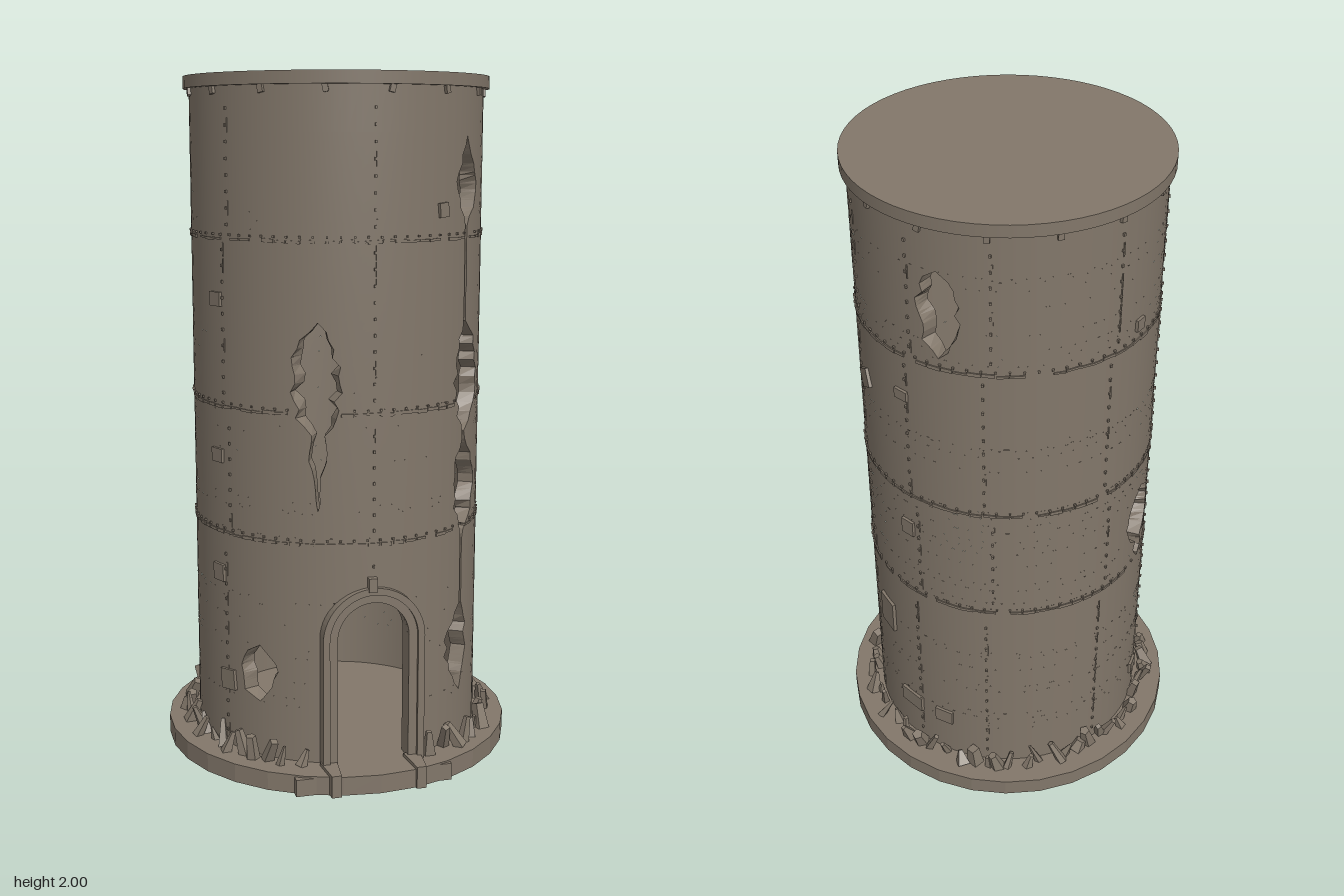
import * as THREE from 'three';
import { mergeGeometries } from 'three/addons/utils/BufferGeometryUtils.js';

const RO = 0.43, RI = 0.385, FLOOR = 0.055;
const rad = (d) => d * Math.PI / 180;
const lerp = THREE.MathUtils.lerp;

let seed = 11;
const rnd = () => (seed = (seed * 16807) % 2147483647) / 2147483647;
const spread = (a) => (rnd() * 2 - 1) * a;

// Ragged crack around one angle; each bulge is [height, half height, reach left, reach right] in degrees
function crack(centre, y0, y1, slit, bulges) {
  const rows = [], n = Math.ceil((y1 - y0) / 0.025);
  for (let k = 0; k <= n; k++) {
    const y = lerp(y0, y1, k / n);
    const ends = k === 0 || k === n;
    let left = slit, right = slit;
    for (const [yc, half, l, r] of bulges) {
      const f = Math.pow(Math.max(0, 1 - ((y - yc) / half) ** 2), 0.7);
      left = Math.max(left, l * f);
      right = Math.max(right, r * f);
    }
    const w = ends ? 0 : left + right;
    const jag = Math.min(1.6, w * 0.2), bevel = Math.min(3, w * 0.2);
    const L = centre - (ends ? 0 : left) + spread(jag), R = centre + (ends ? 0 : right) + spread(jag);
    rows.push({ y, o: [rad(L), rad(R)], i: [rad(L + rnd() * bevel), rad(R - rnd() * bevel)] });
  }
  return rows;
}

// Arched doorway with straight jambs
function doorway(w, spring) {
  const row = (y, x) => ({ y, o: [-Math.asin(x / RO), Math.asin(x / RO)], i: [-Math.asin(x / RI), Math.asin(x / RI)] });
  const rows = [row(0.04, w)];
  for (let k = 0; k <= 10; k++) {
    const a = k / 10 * Math.PI / 2;
    rows.push(row(spring + w * Math.sin(a), k === 10 ? 0 : w * Math.cos(a)));
  }
  return rows;
}

// Outer and inner edge angles of an opening at one height
function edgesAt(rows, y) {
  let k = 0;
  while (k < rows.length - 2 && rows[k + 1].y < y) k++;
  const a = rows[k], b = rows[k + 1];
  const t = THREE.MathUtils.clamp((y - a.y) / (b.y - a.y), 0, 1);
  const mix = (p, q) => [lerp(p[0], q[0], t), lerp(p[1], q[1], t)];
  return { o: mix(a.o, b.o), i: mix(a.i, b.i) };
}

const polar = (r, a, y) => [r * Math.sin(a), y, r * Math.cos(a)];

// Hollow wall laid in rows, each row filled between the openings
function buildWall(holes) {
  const outer = [], inner = [], edges = [];
  const quad = (list, a, b, c, d) => list.push(...a, ...b, ...c, ...a, ...c, ...d);
  const ys = [...new Set([0.04, 1.98, ...holes.flatMap((h) => h.map((s) => s.y))])].sort((a, b) => a - b);
  for (let k = 0; k < ys.length - 1; k++) {
    const y0 = ys[k], y1 = ys[k + 1], mid = (y0 + y1) / 2;
    if (y1 - y0 < 1e-6) continue;
    const active = holes.filter((h) => h[0].y < mid && h[h.length - 1].y > mid)
      .map((h) => [edgesAt(h, y0), edgesAt(h, y1)]).sort((a, b) => a[0].o[0] - b[0].o[0]);
    const strip = (list, r, a0, a1, b0, b1) => {
      const n = Math.max(1, Math.ceil((a1 - a0) / rad(5)));
      for (let j = 0; j < n; j++) {
        const s = j / n, t = (j + 1) / n;
        const q = [polar(r, lerp(a0, a1, s), y0), polar(r, lerp(a0, a1, t), y0),
          polar(r, lerp(b0, b1, t), y1), polar(r, lerp(b0, b1, s), y1)];
        if (r === RI) q.reverse();
        quad(list, ...q);
      }
    };
    if (!active.length) {
      strip(outer, RO, 0, Math.PI * 2, 0, Math.PI * 2);
      strip(inner, RI, 0, Math.PI * 2, 0, Math.PI * 2);
    }
    active.forEach(([lo, hi], j) => {
      const last = j === active.length - 1;
      const [nlo, nhi] = active[last ? 0 : j + 1];
      const turn = last ? Math.PI * 2 : 0;
      strip(outer, RO, lo.o[1], nlo.o[0] + turn, hi.o[1], nhi.o[0] + turn);
      strip(inner, RI, lo.i[1], nlo.i[0] + turn, hi.i[1], nhi.i[0] + turn);
      for (const s of [0, 1]) {
        const q = [polar(RO, lo.o[s], y0), polar(RI, lo.i[s], y0), polar(RI, hi.i[s], y1), polar(RO, hi.o[s], y1)];
        if (s) q.reverse();
        quad(edges, ...q);
      }
    });
  }
  // Round faces get radial normals, broken edges stay flat
  const make = (list, sign) => {
    const g = new THREE.BufferGeometry();
    g.setAttribute('position', new THREE.Float32BufferAttribute(list, 3));
    g.computeVertexNormals();
    const p = g.attributes.position;
    for (let v = 0; sign && v < p.count; v++) {
      const l = sign / Math.hypot(p.getX(v), p.getZ(v));
      g.attributes.normal.setXYZ(v, p.getX(v) * l, 0, p.getZ(v) * l);
    }
    return g;
  };
  return { outer: make(outer, 1), inner: make(inner, -1), edges: make(edges, 0) };
}

// Arch outline for the door frame
function archPath(Type, w, spring) {
  const p = new Type();
  p.moveTo(-w, 0.03);
  p.lineTo(w, 0.03);
  p.lineTo(w, spring);
  p.absarc(0, spring, w, 0, Math.PI, false);
  p.lineTo(-w, 0.03);
  return p;
}

export function createModel() {
  const model = new THREE.Group();
  const stone = new THREE.MeshStandardMaterial({ color: 0x82776a });
  stone.name = 'weathered stone';
  const add = (name, geo) => {
    const m = new THREE.Mesh(geo, stone);
    m.name = name;
    model.add(m);
    return m;
  };

  const holes = [
    doorway(0.105, 0.43),
    crack(-21, 0.8, 1.33, 0.8, [[1.16, 0.16, 10, 8], [1, 0.12, 3.5, 3]]),
    crack(44.5, 0.2, 1.83, 0.7, [[0.34, 0.13, 10, 5], [0.83, 0.14, 6, 11], [1.15, 0.16, 6, 13], [1.7, 0.11, 6, 8]]),
    crack(-45, 0.22, 0.39, 0.5, [[0.31, 0.09, 10, 7]]),
    crack(224, 0.7, 0.98, 1, [[0.87, 0.11, 12, 11], [0.76, 0.07, 4, 3]]),
    crack(132, 1.58, 1.84, 0.5, [[1.72, 0.14, 7.5, 7]]),
  ];
  const wall = buildWall(holes);
  add('outerWall', wall.outer);
  add('innerWall', wall.inner);
  add('brokenEdges', wall.edges);

  // Base slab, roof disc and doorstep
  const slab = new THREE.CylinderGeometry(0.525, 0.525, FLOOR, 30).toNonIndexed();
  slab.computeVertexNormals();
  add('base', slab).position.y = FLOOR / 2;
  add('roof', new THREE.CylinderGeometry(0.447, 0.447, 0.035, 64)).position.y = 1.9825;
  add('doorstep', new THREE.BoxGeometry(0.46, 0.05, 0.14)).position.set(-0.01, 0.025, 0.42);
  for (const x of [-0.13, 0.12]) {
    const s = new THREE.Shape([[-0.025, -0.42], [-0.014, -0.523], [0.014, -0.523], [0.025, -0.42]]
      .map((p) => new THREE.Vector2(...p)));
    const kerb = add('doorKerb', new THREE.ExtrudeGeometry(s, { depth: 0.065, bevelEnabled: false }));
    kerb.rotation.x = -Math.PI / 2;
    kerb.position.x = x;
  }

  // Door frame in two tiers with a keystone
  for (const [name, w, hole, z0, z1] of [['frameTrim', 0.15, 0.13, 0.38, 0.445], ['frameInner', 0.131, 0.105, 0.375, 0.435]]) {
    const s = archPath(THREE.Shape, w, 0.43);
    s.holes.push(archPath(THREE.Path, hole, 0.43));
    add(name, new THREE.ExtrudeGeometry(s, { depth: z1 - z0, bevelEnabled: false, curveSegments: 14 })).position.z = z0;
  }
  add('keystone', new THREE.BoxGeometry(0.025, 0.04, 0.04)).position.set(-0.005, 0.59, 0.43);

  // Small boxes set against the curved wall
  const inHole = (deg, y) => holes.some((h) => {
    if (y < h[0].y || y > h[h.length - 1].y) return false;
    const { o } = edgesAt(h, y);
    return [deg, deg - 360].some((d) => rad(d + 2) > o[0] && rad(d - 2) < o[1]);
  }) || (y < 0.61 && Math.abs((deg + 180) % 360 - 180) < 21);
  const onWall = (deg, y, w, h, out, tilt = 0) =>
    new THREE.BoxGeometry(w, h, out + 0.012).rotateZ(tilt).translate(0, y, RO + (out - 0.012) / 2).rotateY(rad(deg));

  // Ragged horizontal seams with rivets
  const seams = [], rivets = [];
  const levels = [0.06, 0.705, 1.075, 1.55, 1.96];
  for (const y of levels.slice(1, 4)) {
    for (let d = 0; d < 360; d += 5) {
      if (inHole(d, y)) continue;
      if (rnd() < 0.85) seams.push(onWall(d, y + spread(0.002), 0.03 + rnd() * 0.012, 0.005 + rnd() * 0.006, 0.003, spread(0.06)));
      rivets.push(onWall(d + 2.5, y + 0.012, 0.006, 0.006, 0.005));
    }
  }
  // Vertical seams, shifted a little on each storey
  for (let k = 0; k < 4; k++) {
    for (const d0 of [0, 83, 117, 148, 196, 240, 298]) {
      const d = d0 === 0 ? 0 : d0 + (k % 2 ? 3 : 0);
      for (let y = levels[k] + 0.04; y < levels[k + 1] - 0.02; y += 0.045) {
        if (inHole(d, y)) continue;
        rivets.push(onWall(d, y, 0.006, 0.008, 0.005));
        if (rnd() < 0.35) seams.push(onWall(d + 0.6, y, 0.004, 0.04, 0.002));
      }
    }
  }
  // Studs below the roof
  for (let d = 6; d < 360; d += 24) rivets.push(onWall(d, 1.955, 0.016, 0.022, 0.009, spread(0.3)));
  add('seams', mergeGeometries(seams));
  add('rivets', mergeGeometries(rivets));

  // Patches and loose blocks: angle, height, width, height, tilt
  const patches = [[90, 1.37, 0.06, 0.055, 0.5], [115, 1.42, 0.045, 0.03, 0], [115, 0.95, 0.045, 0.05, 0],
    [97, 0.51, 0.08, 0.11, 0], [112, 0.21, 0.09, 0.055, 0], [129, 0.21, 0.06, 0.05, 0], [29, 1.63, 0.035, 0.04, 0.1],
    [-66, 1.38, 0.05, 0.04, 0], [-66, 0.93, 0.05, 0.04, 0], [-66, 0.58, 0.05, 0.05, 0], [-61, 0.26, 0.06, 0.06, 0.1],
    [211, 1.6, 0.035, 0.035, 0], [228, 0.19, 0.05, 0.04, 0]];
  add('patches', mergeGeometries(patches.map(([d, y, w, h, t]) => onWall(d, y, w, h, 0.008, t))));

  // Rubble around the foot of the wall
  const rubble = [];
  for (let d = 24; d < 337; d += 5.6) {
    const h = 0.035 + rnd() * 0.055, w = 0.013 + rnd() * 0.014;
    const g = new THREE.CylinderGeometry(w * (0.25 + rnd() * 0.5), w, h, 4 + Math.floor(rnd() * 2)).toNonIndexed();
    g.rotateY(rnd() * 6).rotateX(spread(0.45)).rotateZ(spread(0.45));
    g.translate(0, FLOOR + h * 0.4, 0.442 + rnd() * 0.03).rotateY(rad(d + spread(2)));
    g.computeVertexNormals();
    rubble.push(g);
  }
  add('rubble', mergeGeometries(rubble));
  return model;
}
